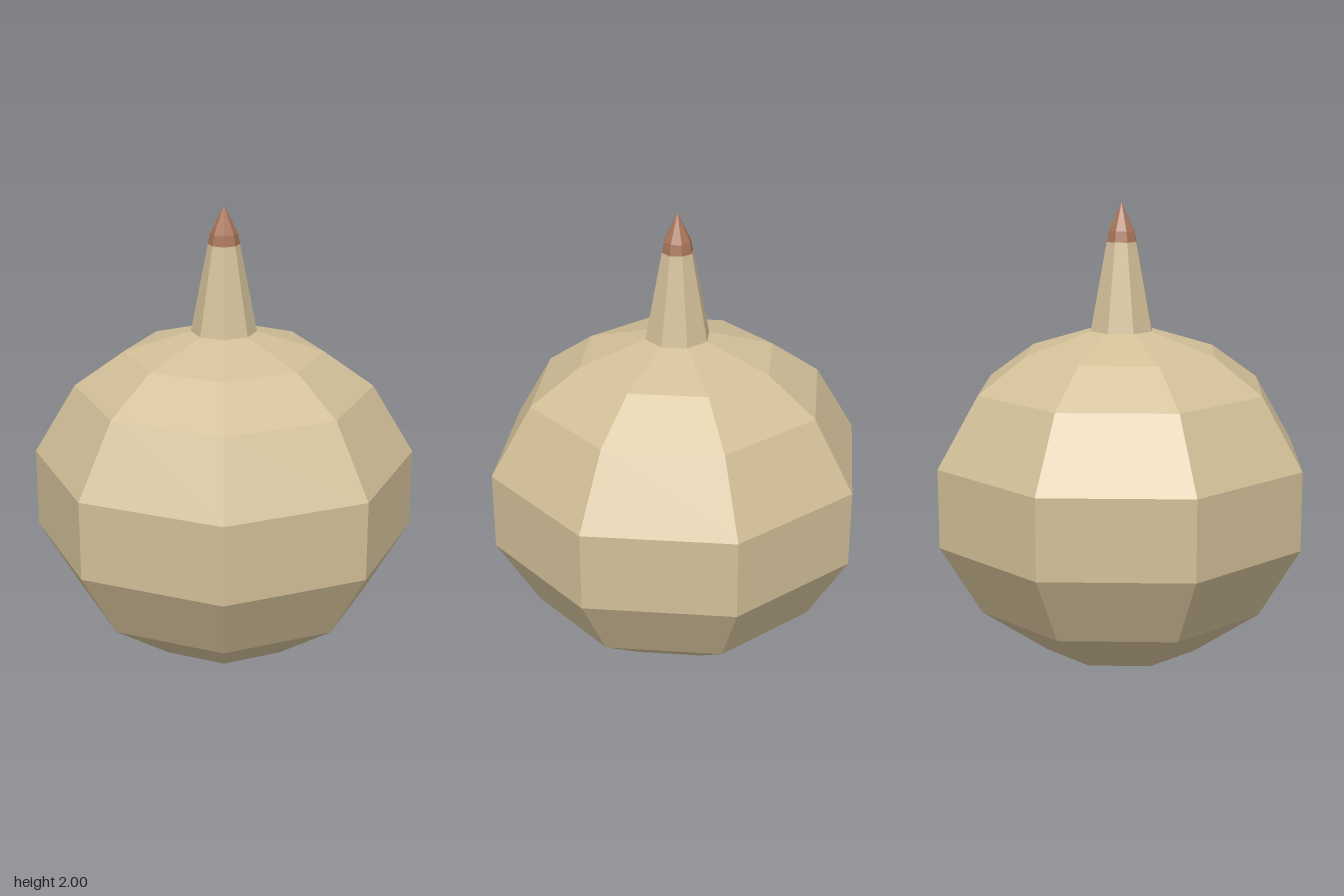
import * as THREE from 'three';

export function createModel() {
  const model = new THREE.Group();
  const tan = new THREE.MeshStandardMaterial({ name: 'tan skin', color: 0xd2bf98, flatShading: true });
  const brown = new THREE.MeshStandardMaterial({ name: 'brown ends', color: 0xa8755a, flatShading: true });

  // Faceted solid of revolution; profile is [radius, height], bottom to top
  const turned = (name, profile, material, sides = 8) => {
    const points = profile.map(([r, y]) => new THREE.Vector2(r, y));
    const mesh = new THREE.Mesh(new THREE.LatheGeometry(points, sides), material);
    mesh.name = name;
    model.add(mesh);
  };

  // Round bulb with eight flat-sided segments
  turned('bulb', [
    [0, 0.003], [0.345, 0.06], [0.64, 0.27], [0.82, 0.575], [0.82, 0.915],
    [0.64, 1.217], [0.425, 1.37], [0.14, 1.46], [0, 1.465],
  ], tan);

  // Tapered stem and its dry tip
  turned('stem', [[0.14, 1.46], [0.067, 1.835]], tan);
  turned('stemTip', [[0.067, 1.835], [0.058, 1.88], [0, 2]], brown);

  // Thin round root patch following the underside
  turned('rootPatch', [[0, 0], [0.142, 0.0225]], brown, 24);

  return model;
}
